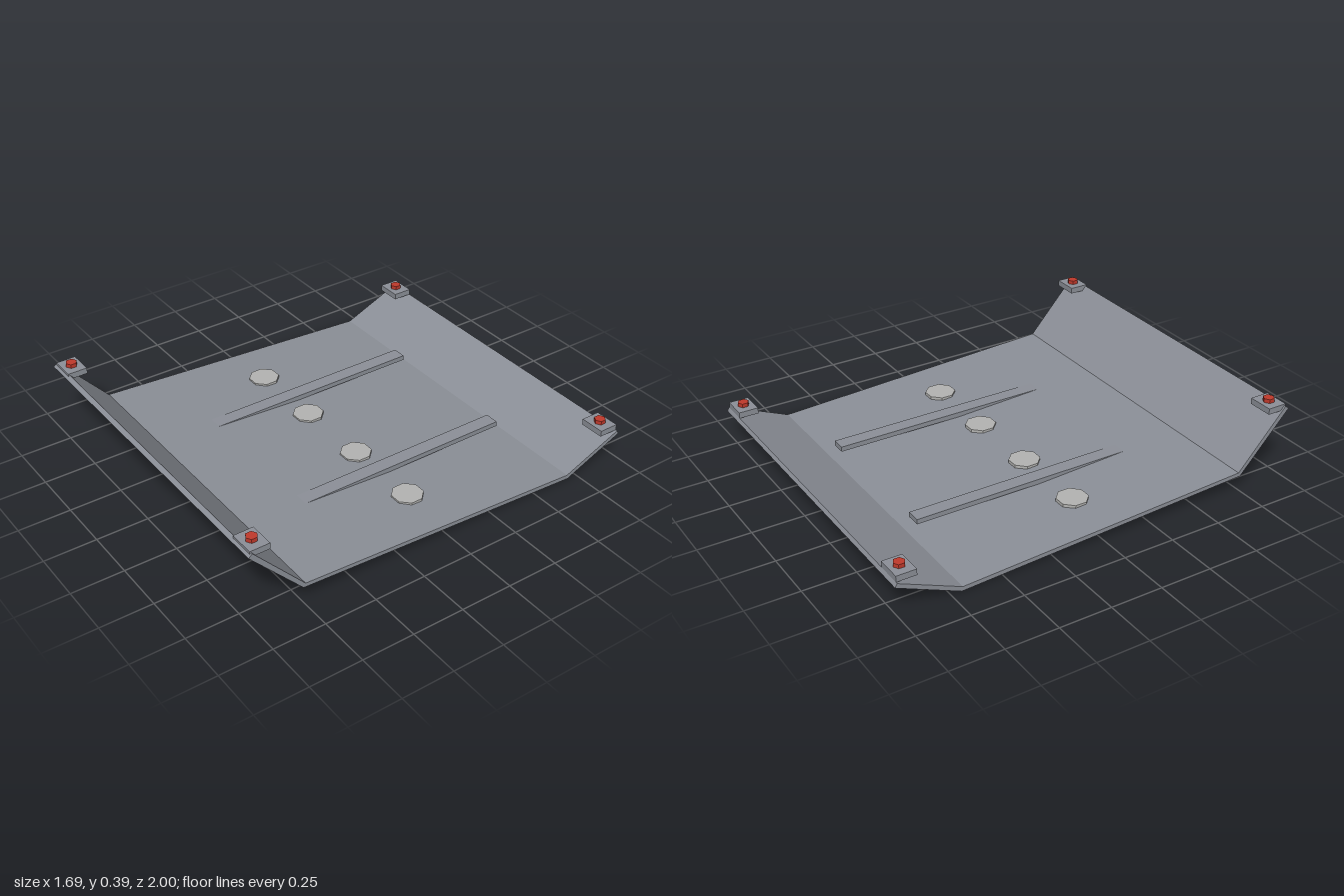
import * as THREE from 'three';

const steel = new THREE.MeshStandardMaterial({ name: 'steel grey', color: 0x8c9098 });
const lightMetal = new THREE.MeshStandardMaterial({ name: 'light grey', color: 0xb4b4b2 });
const red = new THREE.MeshStandardMaterial({ name: 'bolt red', color: 0xc0392b });

export function createModel() {
  const model = new THREE.Group();
  model.name = 'skidPlate';

  const add = (name, geometry, material, x, y, z) => {
    const mesh = new THREE.Mesh(geometry, material);
    mesh.name = name;
    mesh.position.set(x, y, z);
    model.add(mesh);
    return mesh;
  };

  // Bent sheet: side profile as (z, y), extruded across the width
  const halfWidth = 0.843;
  const profile = [
    [1, 0.35], [0.982, 0.366], [0.738, 0.096], [-0.695, 0.021],
    [-0.99, 0.148], [-1, 0.13], [-0.7, 0], [0.748, 0.077],
  ];
  const shape = new THREE.Shape(profile.map(([z, y]) => new THREE.Vector2(z, y)));
  const sheet = new THREE.ExtrudeGeometry(shape, { depth: halfWidth * 2, bevelEnabled: false });
  sheet.rotateY(-Math.PI / 2);
  add('bentPlate', sheet, steel, halfWidth, 0, 0);

  // Level stiffening ribs that cut through the sloping floor
  const rib = new THREE.BoxGeometry(0.07, 0.024, 1.355);
  for (const side of [-1, 1]) add('stiffeningRib', rib, steel, side * 0.36, 0.068, 0.022);

  // Row of eight-sided discs across the floor
  const disc = new THREE.CylinderGeometry(0.074, 0.074, 0.02, 8).toNonIndexed();
  disc.rotateY(Math.PI / 8);
  disc.computeVertexNormals();
  for (let i = 0; i < 4; i++) add('floorDisc', disc, lightMetal, (i - 1.5) * 0.387, 0.06, 0.018);

  // Mounting pads with hexagonal bolts at the four corners
  const pad = new THREE.BoxGeometry(0.122, 0.029, 0.095);
  const bolt = new THREE.CylinderGeometry(0.027, 0.027, 0.03, 6).toNonIndexed();
  bolt.computeVertexNormals();
  for (const side of [-1, 1]) {
    for (const [z, y] of [[0.941, 0.358], [-0.943, 0.163]]) {
      add('mountingPad', pad, steel, side * 0.773, y, z);
      add('mountingBolt', bolt, red, side * 0.773, y + 0.0185, z);
    }
  }
  return model;
}
